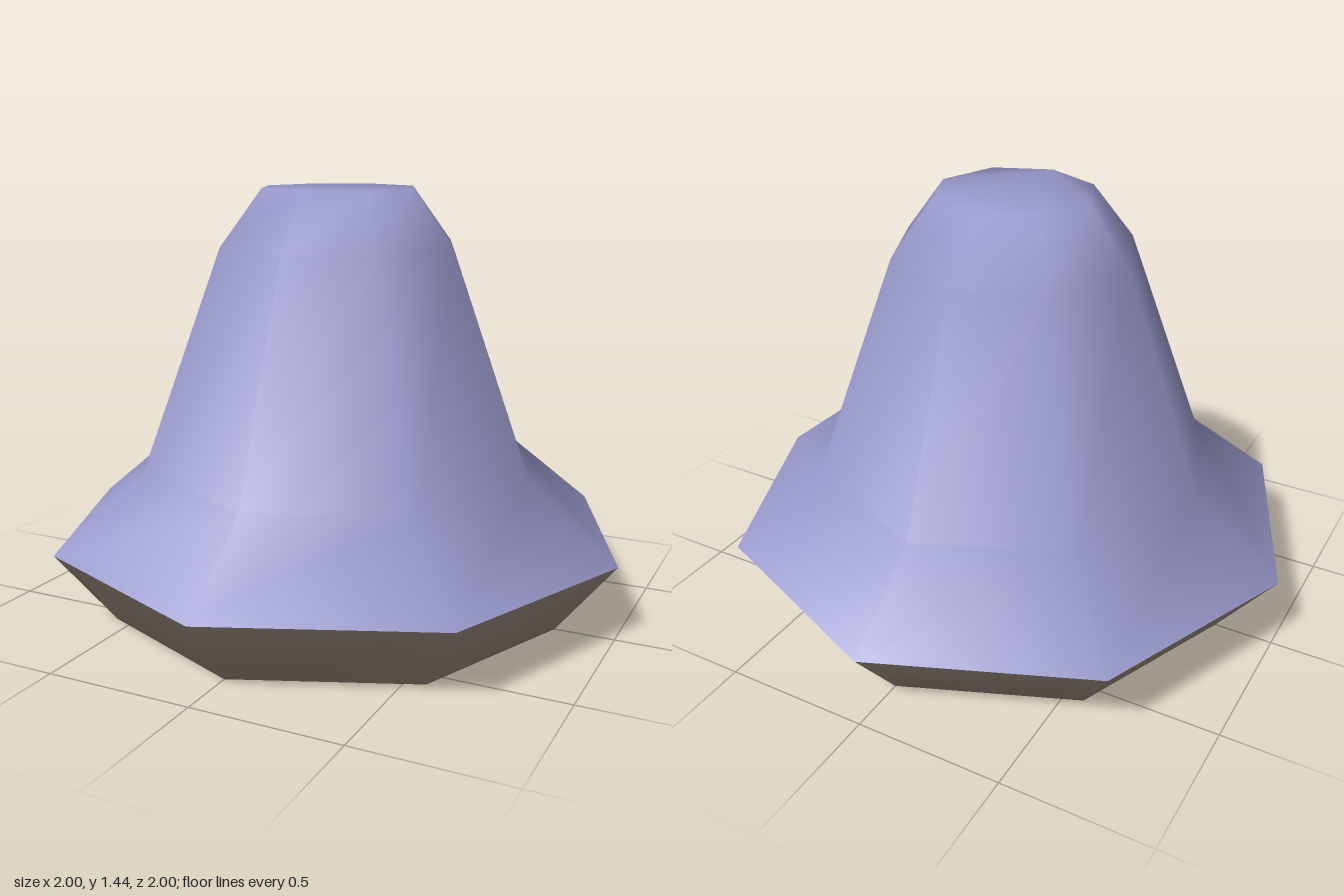
import * as THREE from 'three';

const SIDES = 8;

// Smooth eight-sided shell through [radius, y] rings (bottom to top),
// optionally closed by a flat cap that shares the ring's normals.
function ringShell(rings, cap) {
  const pos = [], idx = [];
  for (const [r, y] of rings) {
    for (let i = 0; i < SIDES; i++) {
      const a = (i / SIDES) * Math.PI * 2;
      pos.push(r * Math.sin(a), y, r * Math.cos(a));
    }
  }
  for (let k = 0; k < rings.length - 1; k++) {
    for (let i = 0; i < SIDES; i++) {
      const j = (i + 1) % SIDES;
      const a = k * SIDES + i, b = k * SIDES + j;
      idx.push(a, b, b + SIDES, a, b + SIDES, a + SIDES);
    }
  }
  const top = (rings.length - 1) * SIDES;
  for (let i = 1; i < SIDES - 1; i++) {
    if (cap === 'top') idx.push(top, top + i, top + i + 1);
    else idx.push(0, i + 1, i);
  }
  const geo = new THREE.BufferGeometry();
  geo.setAttribute('position', new THREE.Float32BufferAttribute(pos, 3));
  geo.setIndex(idx);
  geo.computeVertexNormals();
  return geo;
}

export function createModel() {
  const group = new THREE.Group();
  group.name = 'flaredCap';

  const lavender = new THREE.MeshStandardMaterial({ color: 0x9999cc });
  lavender.name = 'lavender';
  const brown = new THREE.MeshStandardMaterial({ color: 0xa89888 });
  brown.name = 'warmBrown';

  // Flared brim rising into the tapered crown
  const crown = new THREE.Mesh(
    ringShell([[1, 0.25], [0.695, 0.5], [0.415, 1.25], [0.27, 1.44]], 'top'), lavender);
  crown.name = 'crown';

  // Underside tapering in to the flat bottom
  const base = new THREE.Mesh(ringShell([[0.8, 0], [1, 0.25]], 'bottom'), brown);
  base.name = 'base';

  group.add(crown, base);
  return group;
}
